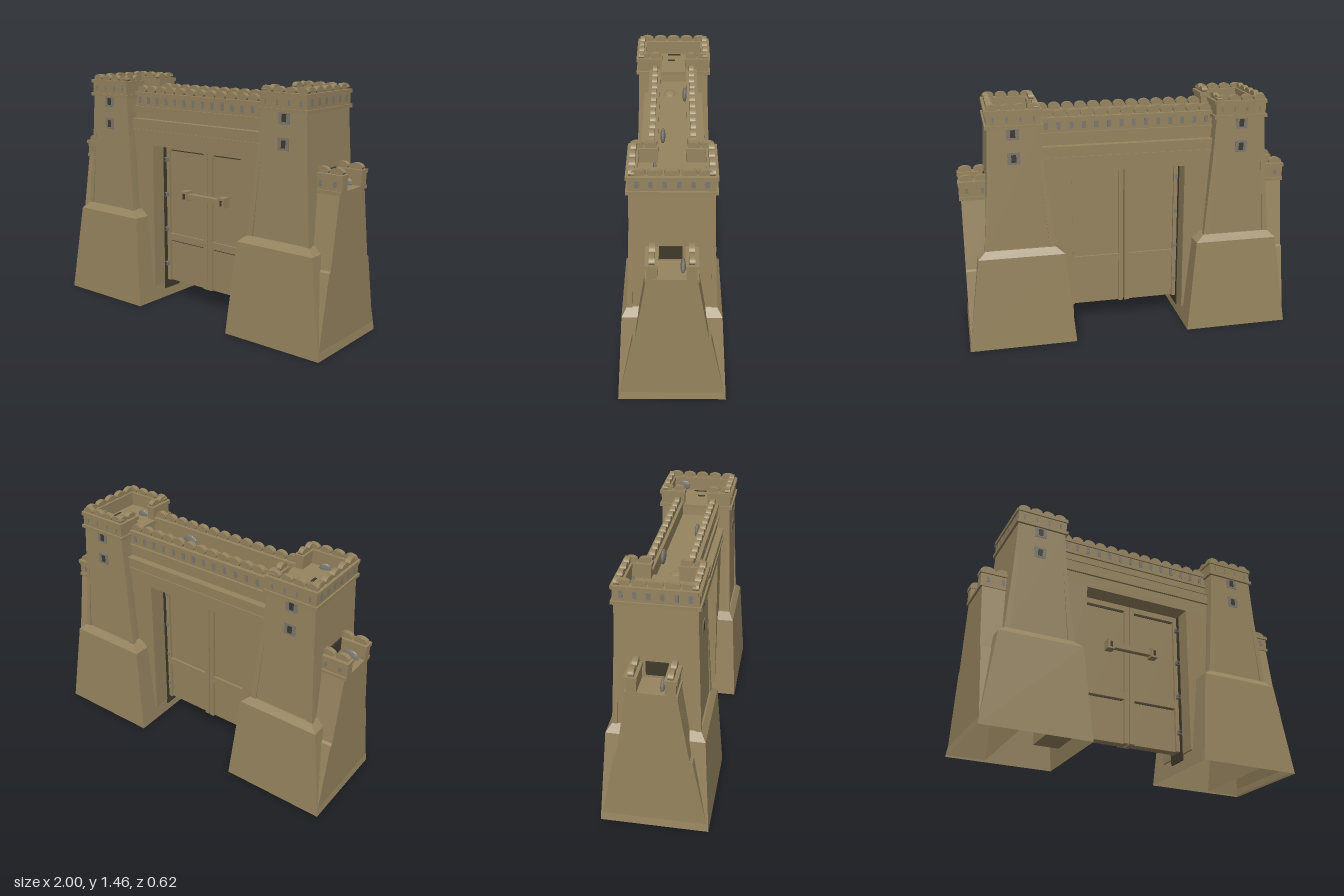
import * as THREE from 'three';

const mat = (name, color, side = THREE.FrontSide) => {
  const m = new THREE.MeshStandardMaterial({ color, side, flatShading: true });
  m.name = name;
  return m;
};

export function createModel() {
  const sand = mat('sandstone', 0x96845f);
  const shell = mat('sandstone shell', 0x96845f, THREE.DoubleSide);
  const grey = mat('grey stone', 0x7c7870);
  const dark = mat('dark iron', 0x3f3a2c);
  const model = new THREE.Group();
  model.name = 'gatehouse';

  const add = (parent, name, geo, material) => {
    const m = new THREE.Mesh(geo, material);
    m.name = name;
    parent.add(m);
    return m;
  };
  // box given by its limits
  const box = (parent, name, x0, x1, y0, y1, z0, z1, material = sand) => {
    const m = add(parent, name, new THREE.BoxGeometry(Math.abs(x1 - x0), y1 - y0, Math.abs(z1 - z0)), material);
    m.position.set((x0 + x1) / 2, (y0 + y1) / 2, (z0 + z1) / 2);
    return m;
  };
  // rectangular rings [x0, x1, z0, z1, y] joined from the bottom up, closed on top
  const loft = (rings) => {
    const pos = [];
    const quad = (a, b, c, d) => pos.push(...a, ...b, ...c, ...a, ...c, ...d);
    const corners = ([xa, xb, z0, z1, y]) => {
      const x0 = Math.min(xa, xb), x1 = Math.max(xa, xb);
      return [[x0, y, z1], [x1, y, z1], [x1, y, z0], [x0, y, z0]];
    };
    for (let i = 0; i < rings.length - 1; i++) {
      const a = corners(rings[i]), b = corners(rings[i + 1]);
      for (let k = 0; k < 4; k++) quad(a[k], a[(k + 1) % 4], b[(k + 1) % 4], b[k]);
    }
    quad(...corners(rings[rings.length - 1]));
    const g = new THREE.BufferGeometry();
    g.setAttribute('position', new THREE.Float32BufferAttribute(pos, 3));
    g.computeVertexNormals();
    return g;
  };

  // round-topped merlon
  const merlonGeo = (r, h, depth) => {
    const s = new THREE.Shape();
    s.moveTo(-r * 0.85, 0);
    s.lineTo(r * 0.85, 0);
    s.absellipse(0, h * 0.3, r, h * 0.7, 0, Math.PI, false);
    return new THREE.ExtrudeGeometry(s, { depth, bevelEnabled: false, curveSegments: 7 }).translate(0, 0, -depth / 2);
  };

  // parapet whose local +z faces outward; its outer face lies at (x, z)
  const parapet = (parent, name, x, y, z, angle, o) => {
    const g = new THREE.Group();
    g.name = name;
    g.position.set(x, y, z);
    g.rotation.y = angle;
    parent.add(g);
    const L = o.len / 2, t = o.thick;
    box(g, 'parapetWall', -L, L, 0, o.h, -t, 0);
    box(g, 'parapetCornice', -L - 0.005, L + 0.005, o.h - 0.022, o.h, -t - 0.005, 0.009);
    const step = o.len / o.merlons;
    const geo = merlonGeo(step * 0.46, o.mh, 0.03);
    for (let i = 0; i < o.merlons; i++)
      add(g, 'merlon', geo, sand).position.set(-L + step * (i + 0.5), o.h, -t / 2);
    for (let i = 0; i < o.slots; i++) {
      const sx = -L + (o.len / o.slots) * (i + 0.5);
      box(g, 'slot', sx - o.slotW, sx + o.slotW, o.h * 0.2, o.h * 0.2 + o.slotH, -0.002, 0.002, grey);
    }
  };

  // towers
  for (const s of [1, -1]) {
    const tower = new THREE.Group();
    tower.name = s > 0 ? 'leftTower' : 'rightTower';
    model.add(tower);
    add(tower, 'batteredBase', loft([
      [s * 0.35, s * 0.992, -0.31, 0.31, 0],
      [s * 0.405, s * 0.912, -0.275, 0.275, 0.565],
      [s * 0.455, s * 0.868, -0.245, 0.245, 0.605],
    ]), shell);
    add(tower, 'towerShaft', loft([
      [s * 0.472, s * 0.862, -0.237, 0.237, 0.59],
      [s * 0.522, s * 0.82, -0.218, 0.218, 1.335],
    ]), shell);
    // corner strips fading into the shaft
    for (const f of [1, -1]) for (const [b, t, d] of [[0.455, 0.522, 1], [0.872, 0.818, -1]])
      add(tower, 'cornerStrip', loft([
        [s * b, s * (b + d * 0.035), f > 0 ? 0.215 : -0.246, f > 0 ? 0.246 : -0.215, 0.59],
        [s * t, s * (t + d * 0.02), f > 0 ? 0.195 : -0.218, f > 0 ? 0.218 : -0.195, 1.25],
      ]), shell);
    // roof and battlements
    box(tower, 'towerLedge', s * 0.506, s * 0.834, 1.32, 1.34, -0.233, 0.233);
    const top = { h: 0.085, thick: 0.045, mh: 0.032, slotH: 0.04, slotW: 0.011 };
    for (const f of [1, -1])
      parapet(tower, 'towerParapet', s * 0.67, 1.34, f * 0.223, f > 0 ? 0 : Math.PI,
        { ...top, len: 0.308, merlons: 4, slots: 4, slotW: 0.005, slotH: 0.03 });
    parapet(tower, 'outerParapet', s * 0.824, 1.34, 0, s * Math.PI / 2, { ...top, len: 0.425, merlons: 5, slots: 6 });
    for (const f of [1, -1])
      parapet(tower, 'innerParapet', s * 0.516, 1.34, f * 0.148, -s * Math.PI / 2,
        { ...top, len: 0.145, merlons: 2, slots: 0 });
    // windows on both faces
    for (const f of [1, -1]) for (const [y, z] of [[1.29, 0.2195], [1.147, 0.2232]]) {
      const w = new THREE.Group();
      w.name = 'window';
      w.position.set(s * 0.678, y, f * z);
      tower.add(w);
      box(w, 'windowSurround', -0.036, 0.036, -0.035, 0.035, -0.003, 0.003, grey);
      box(w, 'windowOpening', -0.014, 0.014, -0.022, 0.022, -0.0045, 0.0045, dark);
    }
    // roof slits
    box(tower, 'roofSlit', s * 0.755 - 0.004, s * 0.755 + 0.004, 1.338, 1.345, -0.045, 0.035, dark);
    box(tower, 'roofSlit', s * 0.67 - 0.007, s * 0.67 + 0.007, 1.338, 1.345, -0.01, 0.035, dark);

    // wall stub on the outer side
    const stub = new THREE.Group();
    stub.name = s > 0 ? 'leftWallStub' : 'rightWallStub';
    model.add(stub);
    const a = s * 0.76, b = s * 0.985;
    add(stub, 'wallBody', loft([
      [a, b, -0.305, 0.305, 0.01], [a, b, -0.215, 0.215, 0.475],
      [a, b, -0.2, 0.2, 0.485], [a, b, -0.133, 0.133, 0.9],
    ]), shell);
    box(stub, 'wallLedge', s * 0.78, s * 0.996, 0.89, 0.91, -0.14, 0.14);
    box(stub, 'doorway', s * 0.838, s * 0.847, 0.925, 1.005, -0.055, 0.068, dark);
    for (const f of [1, -1])
      parapet(stub, 'wallParapet', s * 0.905, 0.91, f * 0.13, f > 0 ? 0 : Math.PI,
        { len: 0.18, h: 0.09, thick: 0.055, merlons: 2, slots: 2, mh: 0.034, slotH: 0.032, slotW: 0.009 });
  }

  // bridge over the gate
  const bridge = new THREE.Group();
  bridge.name = 'bridge';
  model.add(bridge);
  box(bridge, 'bridgeWall', -0.525, 0.525, 1.09, 1.265, -0.142, 0.142);
  box(bridge, 'lintel', -0.51, 0.51, 1.112, 1.182, -0.178, 0.178);
  box(bridge, 'lintelLip', -0.51, 0.51, 1.112, 1.128, -0.184, 0.184);
  box(bridge, 'lintelCap', -0.515, 0.515, 1.182, 1.192, -0.184, 0.184);
  box(bridge, 'bridgeLedge', -0.52, 0.52, 1.253, 1.268, -0.153, 0.153);
  for (const f of [1, -1])
    parapet(bridge, 'bridgeParapet', 0, 1.268, f * 0.14, f > 0 ? 0 : Math.PI,
      { len: 1.035, h: 0.088, thick: 0.055, merlons: 13, slots: 14, mh: 0.04, slotW: 0.011, slotH: 0.042 });

  // thick gate wall with the doors set back in its opening
  const gate = new THREE.Group();
  gate.name = 'gate';
  model.add(gate);
  box(gate, 'gateHead', -0.52, 0.52, 1.03, 1.112, -0.17, 0.17);
  for (const s of [1, -1]) {
    box(gate, 'gateJamb', s * 0.347, s * 0.52, 0.1, 1.03, -0.17, 0.17);
    box(gate, 'jambGap', s * 0.343, s * 0.35, 0.06, 1.03, -0.06, 0.075, dark);

    // door leaf: core with raised rails and stiles on both sides
    const leaf = new THREE.Group();
    leaf.name = s > 0 ? 'leftDoor' : 'rightDoor';
    model.add(leaf);
    box(leaf, 'doorPanel', s * 0.004, s * 0.343, 0.118, 1.03, -0.025, 0.035);
    const trim = (x0, x1, y0, y1) => box(leaf, 'doorRail', s * x0, s * x1, y0, y1, -0.04, 0.05);
    trim(0.004, 0.034, 0.118, 1.03);
    trim(0.318, 0.343, 0.118, 1.03);
    trim(0.034, 0.318, 0.995, 1.03);
    trim(0.034, 0.318, 0.395, 0.44);
    for (const y of [0.995, 0.395])
      box(leaf, 'railShade', s * 0.04, s * 0.312, y - 0.009, y, 0.03, 0.038, dark);
    for (const y of [0.235, 0.47, 0.7, 0.93]) {
      box(leaf, 'hinge', s * 0.324, s * 0.343, y - 0.012, y + 0.012, -0.046, 0.075, grey);
      box(leaf, 'hingePin', s * 0.328, s * 0.34, y - 0.008, y + 0.008, 0.07, 0.077, dark);
    }
    box(leaf, 'barBracket', s * 0.125, s * 0.172, 0.688, 0.75, 0.05, 0.105);
    box(leaf, 'bracketIron', s * 0.14, s * 0.157, 0.7, 0.735, 0.1, 0.107, dark);
  }
  box(gate, 'lockingBar', -0.165, 0.165, 0.702, 0.735, 0.06, 0.095);

  // round shields resting on the walkways: x, y, z, turn, size
  const shieldGeo = new THREE.SphereGeometry(0.05, 14, 8).scale(1, 0.85, 0.28);
  for (const [x, y, z, turn, size] of [
    [-0.24, 1.32, -0.07, 0, 1], [0.21, 1.295, 0.055, 0, 1], [-0.62, 1.35, -0.16, 0.2, 0.65],
    [-0.66, 1.35, 0.155, 0.3, 0.65], [0.75, 1.38, -0.11, 1.5, 0.75], [0.615, 1.35, 0.09, 0.1, 0.65],
    [0.9, 0.92, -0.058, 0, 1], [-0.92, 0.92, 0.052, 0, 1],
  ]) {
    const m = add(model, 'shield', shieldGeo, grey);
    m.position.set(x, y, z);
    m.rotation.y = turn;
    m.scale.setScalar(size);
  }
  const mound = add(model, 'mound', new THREE.SphereGeometry(0.045, 12, 8), sand);
  mound.position.set(-0.35, 1.265, 0.02);
  mound.scale.set(1, 0.4, 0.8);

  return model;
}
